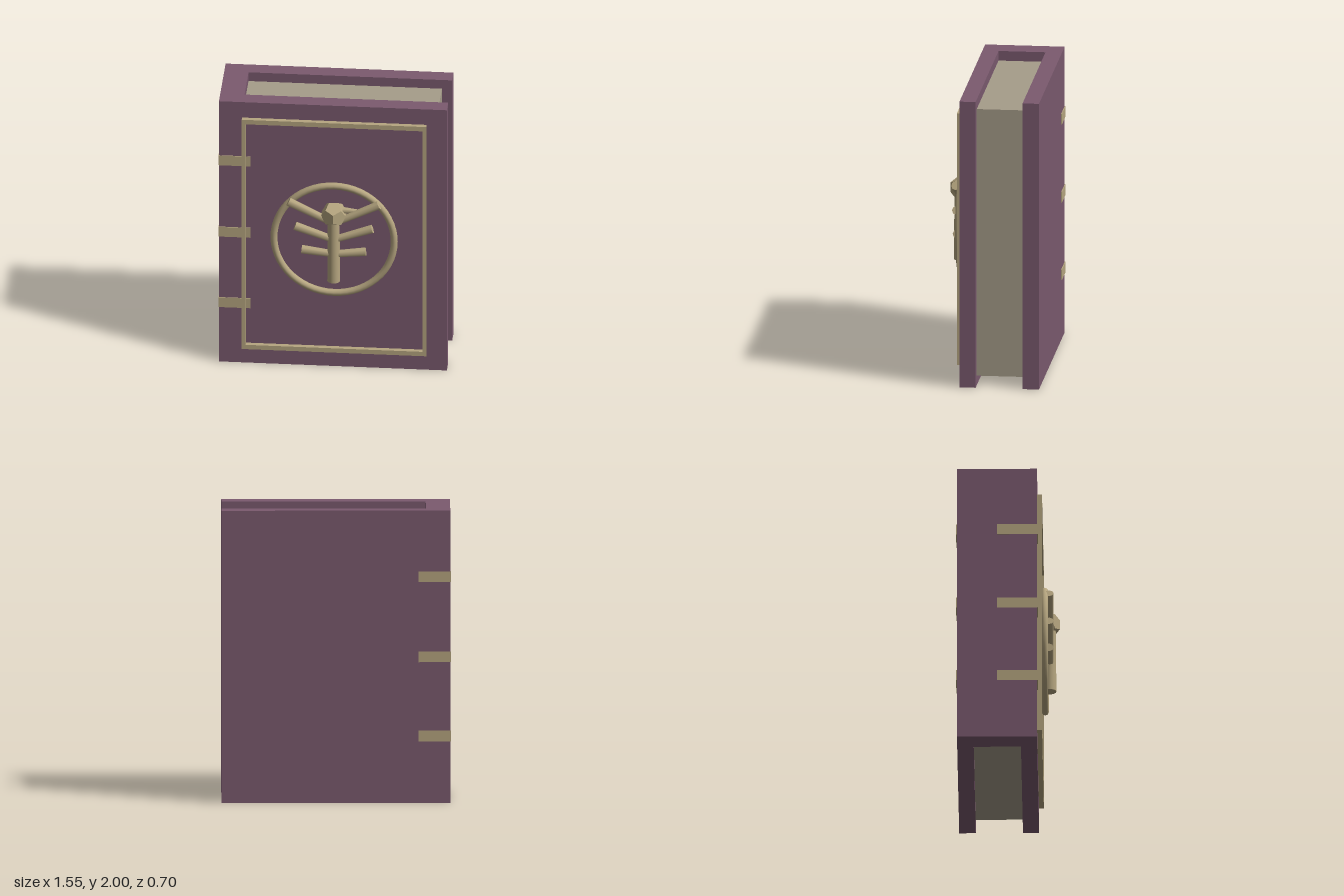
import * as THREE from 'three';

export function createModel() {
  const book = new THREE.Group();
  book.name = 'book';
  const mat = (name, color) => {
    const m = new THREE.MeshStandardMaterial({ color });
    m.name = name;
    return m;
  };
  const leather = mat('purple leather', 0x7b5a6f);
  const paper = mat('aged paper', 0xa69d8a);
  const gold = mat('pale gold', 0xb6a680);

  const add = (name, geo, material, x = 0, y = 0, z = 0, parent = book) => {
    const mesh = new THREE.Mesh(geo, material);
    mesh.name = name;
    mesh.position.set(x, y, z);
    parent.add(mesh);
    return mesh;
  };
  // Box given by its two opposite corners
  const block = (name, material, a, b, parent) =>
    add(name, new THREE.BoxGeometry(b[0] - a[0], b[1] - a[1], b[2] - a[2]), material,
      (a[0] + b[0]) / 2, (a[1] + b[1]) / 2, (a[2] + b[2]) / 2, parent);
  // Round bar between two points
  const bar = (name, a, b, r0, r1, parent, sides = 10) => {
    const p = new THREE.Vector3(...a), q = new THREE.Vector3(...b);
    const mesh = add(name, new THREE.CylinderGeometry(r1, r0, p.distanceTo(q), sides), gold, 0, 0, 0, parent);
    mesh.position.copy(p).lerp(q, 0.5);
    mesh.quaternion.setFromUnitVectors(new THREE.Vector3(0, 1, 0), q.sub(p).normalize());
    return mesh;
  };

  // Covers and spine: a C-shaped section extruded upwards
  const section = new THREE.Shape([
    [-0.775, -0.2], [0.775, -0.2], [0.775, -0.09], [-0.61, -0.09],
    [-0.61, 0.23], [0.775, 0.23], [0.775, 0.342], [-0.775, 0.342],
  ].map(([x, y]) => new THREE.Vector2(x, y)));
  const coverGeo = new THREE.ExtrudeGeometry(section, { depth: 2, bevelEnabled: false });
  coverGeo.rotateX(-Math.PI / 2);
  add('cover', coverGeo, leather);

  // Page block
  block('pages', paper, [-0.615, 0.067, -0.231], [0.705, 1.933, 0.091]);

  // Binding bands wrapping from the covers onto the spine
  for (const y of [0.458, 1.0, 1.548]) {
    const band = new THREE.Group();
    band.name = 'bindingBand';
    book.add(band);
    const lo = y - 0.037, hi = y + 0.037;
    block('bandFront', gold, [-0.778, lo, 0.198], [-0.56, hi, 0.206], band);
    block('bandBack', gold, [-0.778, lo, -0.348], [-0.56, hi, -0.34], band);
    block('bandSpine', gold, [-0.778, lo, -0.07], [-0.773, hi, 0.206], band);
  }

  // Raised rectangular frame on the front cover
  const rect = (C, x0, y0, x1, y1) => {
    const s = new C();
    s.moveTo(x0, y0).lineTo(x1, y0).lineTo(x1, y1).lineTo(x0, y1).closePath();
    return s;
  };
  const frame = rect(THREE.Shape, -0.617, 0.12, 0.638, 1.882);
  frame.holes.push(rect(THREE.Path, -0.59, 0.153, 0.611, 1.848));
  add('frame', new THREE.ExtrudeGeometry(frame, { depth: 0.035, bevelEnabled: false }), gold, 0, 0, 0.198);

  // Emblem: ring, stem, faceted head and three pairs of arms
  const emblem = new THREE.Group();
  emblem.name = 'emblem';
  emblem.position.x = 0.012;
  book.add(emblem);
  add('ring', new THREE.TorusGeometry(0.409, 0.024, 10, 56), gold, 0, 1.0, 0.247, emblem);
  bar('stem', [0, 0.7, 0.28], [0, 1.2, 0.28], 0.044, 0.04, emblem, 14);
  add('head', new THREE.DodecahedronGeometry(0.092), gold, 0, 1.2, 0.262, emblem);
  bar('beak', [0.06, 1.235, 0.265], [0.165, 1.23, 0.265], 0.024, 0.014, emblem, 8);
  const arms = [
    [0.308, 1.292, 1.14],
    [0.263, 1.107, 1.015],
    [0.218, 0.93, 0.905],
  ];
  for (const side of [-1, 1]) {
    for (const [reach, yOut, yIn] of arms) {
      bar('arm', [0, yIn, 0.28], [side * reach, yOut, 0.277], 0.025, 0.031, emblem, 8);
    }
  }
  return book;
}
